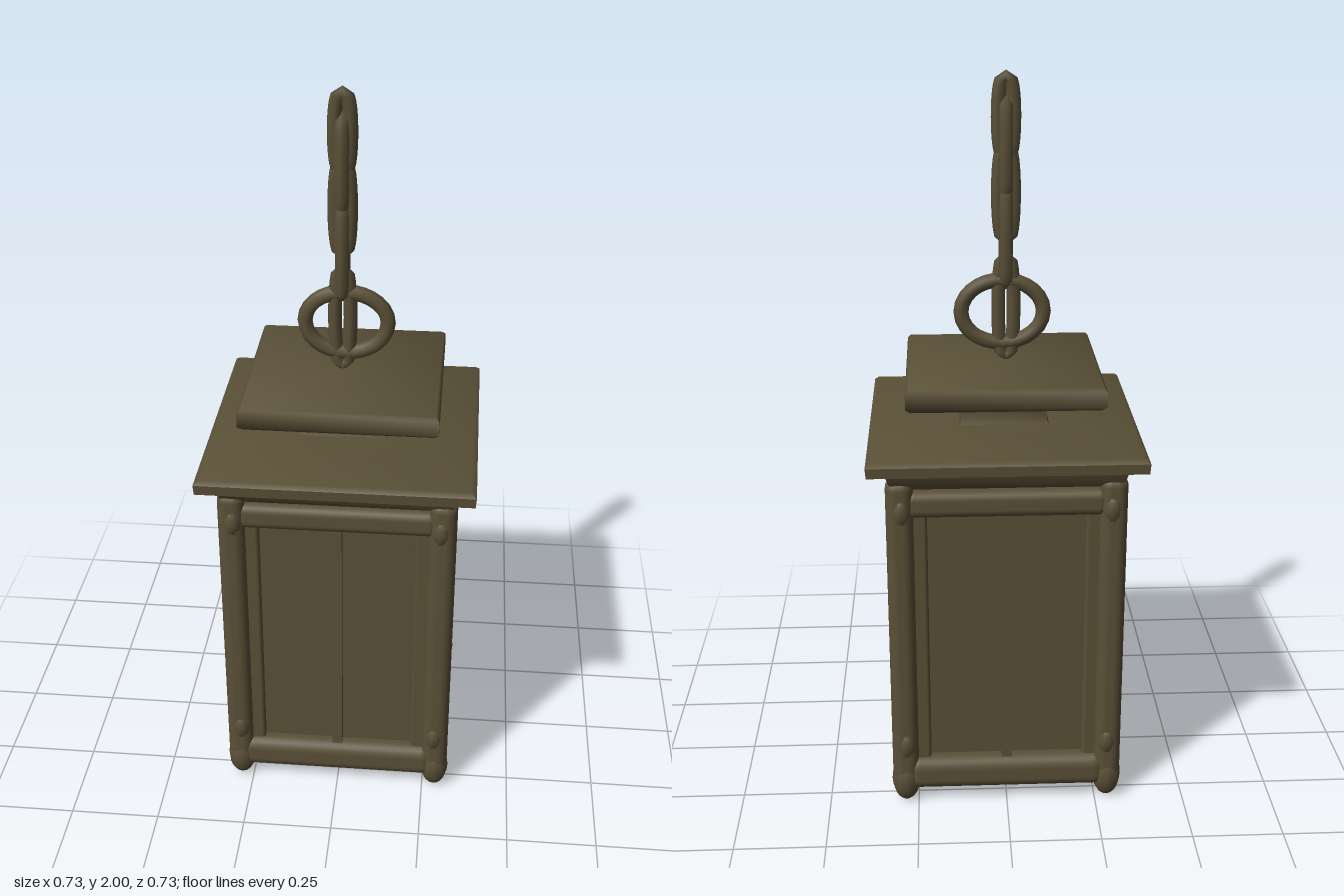
import * as THREE from 'three';
import { toCreasedNormals } from 'three/addons/utils/BufferGeometryUtils.js';
import { RoundedBoxGeometry } from 'three/addons/geometries/RoundedBoxGeometry.js';

const metal = new THREE.MeshStandardMaterial({ color: 0x5a5037 });
metal.name = 'dark bronze';

function add(parent, name, geometry, x = 0, y = 0, z = 0) {
  const mesh = new THREE.Mesh(geometry, metal);
  mesh.name = name;
  mesh.position.set(x, y, z);
  parent.add(mesh);
  return mesh;
}

// Square solid turned from a profile of [half width, height], bottom to top
function squareLathe(profile) {
  const points = profile.map(([w, y]) => new THREE.Vector2(w * Math.SQRT2, y));
  const geometry = new THREE.LatheGeometry(points, 4).rotateY(Math.PI / 4);
  return toCreasedNormals(geometry, 0.9);
}

// Closed oval loop of wire in the xy plane
function wireLoop(halfWidth, halfHeight, radius, power = 1) {
  const points = [];
  for (let i = 0; i < 20; i++) {
    const a = (i / 20) * Math.PI * 2;
    const c = Math.cos(a);
    points.push(new THREE.Vector3(
      halfWidth * Math.sign(c) * Math.abs(c) ** power, halfHeight * Math.sin(a), 0));
  }
  return new THREE.TubeGeometry(new THREE.CatmullRomCurve3(points, true), 28, radius, 7, true);
}

export function createModel() {
  const lantern = new THREE.Group();
  lantern.name = 'hangingLantern';

  // Closed core: recessed panes and floor
  add(lantern, 'panes', new THREE.BoxGeometry(0.542, 0.9, 0.542), 0, 0.53, 0);
  add(lantern, 'floor', new THREE.BoxGeometry(0.56, 0.04, 0.56), 0, 0.072, 0);

  // Corner posts with rounded feet and joint collars
  for (const x of [-1, 1]) {
    for (const z of [-1, 1]) {
      add(lantern, 'cornerPost', new RoundedBoxGeometry(0.074, 0.93, 0.074, 4, 0.03),
        x * 0.284, 0.525, z * 0.277);
      add(lantern, 'foot', new THREE.SphereGeometry(0.04, 12, 10), x * 0.284, 0.072, z * 0.281)
        .scale.set(1, 1.7, 1);
      for (const y of [0.19, 0.9]) {
        add(lantern, 'collar', new THREE.SphereGeometry(0.03, 10, 8), x * 0.28, y, z * 0.293)
          .scale.set(0.9, 1.6, 1);
      }
    }
  }

  // Four framed sides
  for (let i = 0; i < 4; i++) {
    const side = new THREE.Group();
    side.name = ['frontSide', 'leftSide', 'backSide', 'rightSide'][i];
    side.rotation.y = (i * Math.PI) / 2;
    lantern.add(side);
    add(side, 'bottomRail', new RoundedBoxGeometry(0.56, 0.1, 0.08, 4, 0.035), 0, 0.093, 0.274);
    add(side, 'topRail', new RoundedBoxGeometry(0.54, 0.075, 0.065, 4, 0.025), 0, 0.915, 0.273);
    for (const x of [-1, 1]) {
      add(side, 'stile', new RoundedBoxGeometry(0.05, 0.76, 0.04, 2, 0.01), x * 0.237, 0.51, 0.27);
    }
    const mullionX = i === 1 ? -0.055 : 0;
    add(side, 'mullion', new THREE.BoxGeometry(0.028, 0.76, 0.03), mullionX, 0.51, 0.279);
  }

  // Cornice, eave, neck and cap
  add(lantern, 'cornice', squareLathe([
    [0, 0.96], [0.29, 0.96], [0.31, 0.98], [0.322, 1.02], [0, 1.02]]));
  add(lantern, 'eave', squareLathe([
    [0, 1.01], [0.33, 1.01], [0.365, 1.022], [0.367, 1.05], [0.355, 1.06], [0.12, 1.076], [0, 1.076]]));
  add(lantern, 'neck', squareLathe([
    [0.128, 1.065], [0.117, 1.085], [0.117, 1.14], [0.135, 1.165]]));
  add(lantern, 'cap', squareLathe([
    [0, 1.158], [0.25, 1.158], [0.263, 1.17], [0.263, 1.21], [0.255, 1.22], [0, 1.228]]));

  // Hanging ring and chain of tightly overlapping links
  add(lantern, 'ring', wireLoop(0.112, 0.088, 0.021), 0, 1.36, 0);
  const chain = new THREE.Group();
  chain.name = 'chain';
  chain.position.x = -0.01;
  lantern.add(chain);
  const links = [[1.215, 1.53], [1.42, 1.71], [1.54, 1.82], [1.66, 1.94], [1.76, 2.0]];
  links.forEach(([low, high], i) => {
    const link = add(chain, 'chainLink',
      wireLoop(0.021, (high - low) / 2 - 0.019, 0.019, 0.6), 0, (low + high) / 2, 0);
    link.rotation.y = i % 2 ? Math.PI / 2 : 0;
  });
  return lantern;
}
